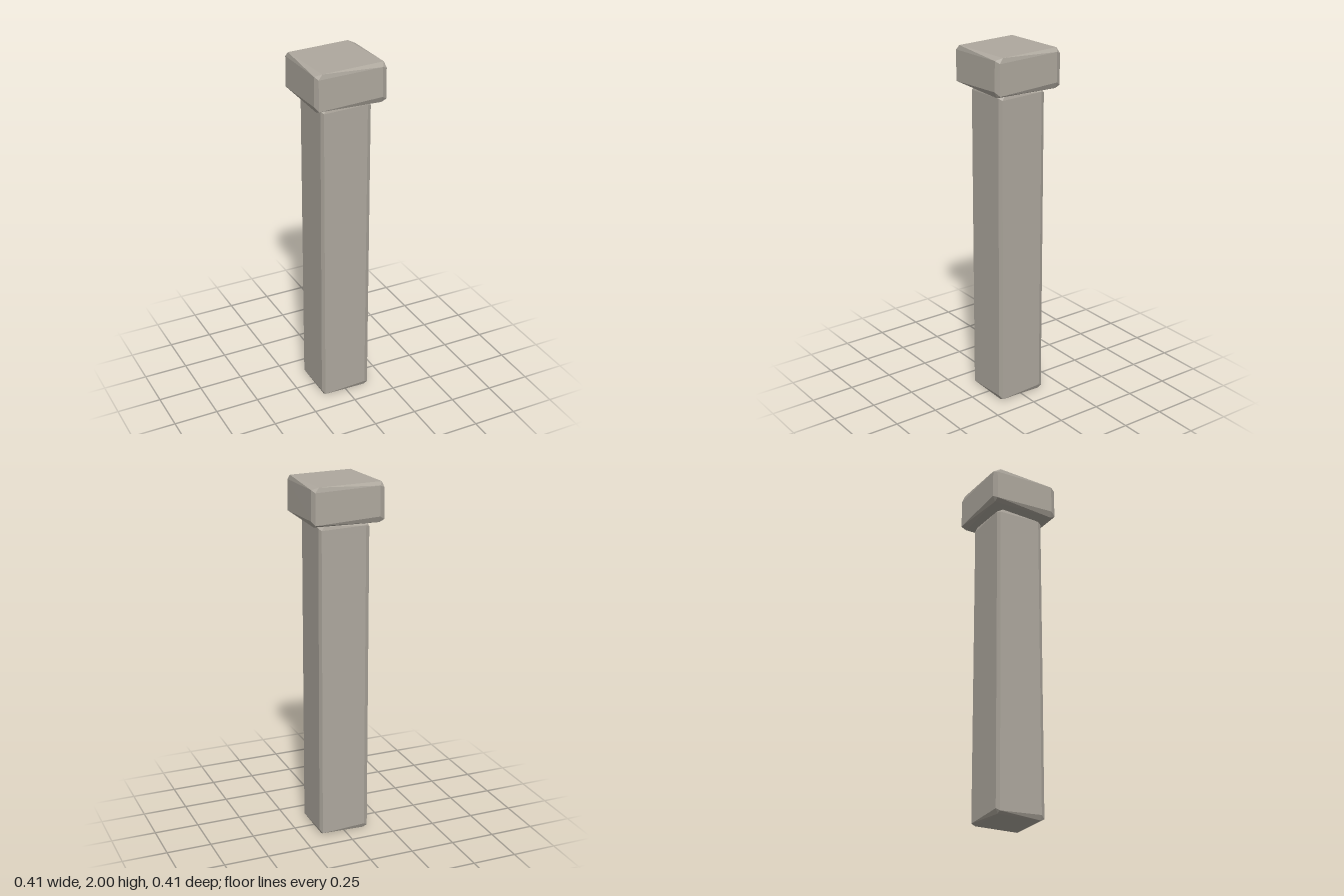
import * as THREE from 'three';
import { ConvexGeometry } from 'three/addons/geometries/ConvexGeometry.js';

// Hewn stone block: each face is a slightly twisted quad, and the hull
// of the six faces forms the uneven chamfers between them.
function hewnBlock(half, y0, y1, bevel) {
  const points = [];
  const tilt = bevel * 0.12;
  const inner = half - bevel * 1.1; // deep corner cut
  const outer = half - bevel * 0.35; // shallow corner cut
  for (let i = 0; i < 4; i++) {
    const turn = new THREE.Matrix4().makeRotationY(i * Math.PI / 2);
    const add = (x, y, z) => points.push(new THREE.Vector3(x, y, z).applyMatrix4(turn));
    // side face, leaning a little
    add(-outer, y0 + bevel * 0.45, half - tilt);
    add(inner, y0 + bevel * 1.1, half + tilt);
    add(-outer, y1 - bevel * 0.9, half - tilt * 1.5);
    add(inner, y1 - bevel * 0.5, half + tilt * 0.5);
    // one corner each of the twisted top and bottom
    add(outer, y1, inner);
    add(inner, y0, outer);
  }
  return new ConvexGeometry(points);
}

export function createModel() {
  const group = new THREE.Group();
  const stone = new THREE.MeshStandardMaterial({ color: 0xaea89e, flatShading: true });
  stone.name = 'stone';

  const parts = [
    ['shaft', 0.142, 0, 1.78, 0.024],
    ['capital', 0.201, 1.79, 2, 0.03],
  ];
  for (const [name, half, y0, y1, bevel] of parts) {
    const mesh = new THREE.Mesh(hewnBlock(half, y0, y1, bevel), stone);
    mesh.name = name;
    group.add(mesh);
  }
  return group;
}
